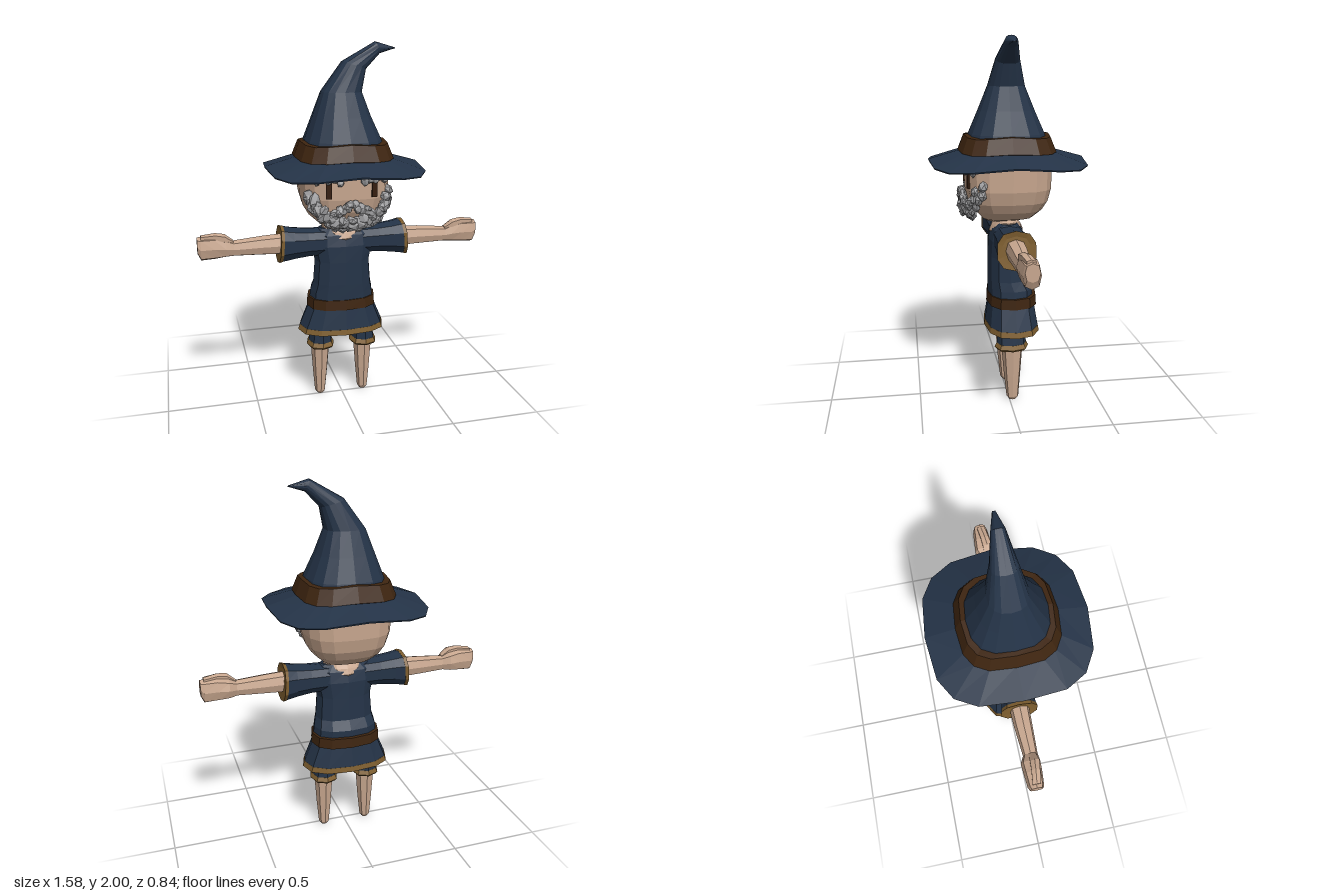
import * as THREE from 'three';
import { mergeGeometries } from 'three/addons/utils/BufferGeometryUtils.js';

const material = (name, color) => Object.assign(new THREE.MeshStandardMaterial({ color }), { name });

// Power that keeps its sign, used for rounded-square cross-sections
const spow = (v, e) => Math.sign(v) * Math.pow(Math.abs(v), e);

// Faceted closed loft. ring = [along, c1, c2, r1, r2, tilt, droop].
// axis 'y': c1/c2 are x/z. axis 'x': c1/c2 are y/z, mirrored by side.
function loft(rings, { sides = 12, square = 2, axis = 'y', side = 1 } = {}) {
  const place = (l, p, q) => axis === 'y' ? [p * side, l, q] : [l * side, p, q];
  const pts = rings.map(([l, c1, c2, r1, r2, tilt = 0, droop = 0]) =>
    Array.from({ length: sides }, (_, j) => {
      const t = (j / sides) * Math.PI * 2, c = Math.cos(t), s = Math.sin(t);
      return place(l + tilt * c - droop * Math.abs(Math.sin(2 * t)),
        c1 + r1 * spow(c, 2 / square), c2 + r2 * spow(s, 2 / square));
    }));
  const flip = (axis === 'x') !== (side < 0);
  const pos = [];
  const tri = (a, b, c) => pos.push(...a, ...(flip ? c : b), ...(flip ? b : c));
  const last = rings.length - 1;
  const mid = (i) => place(rings[i][0], rings[i][1], rings[i][2]);
  for (let j = 0; j < sides; j++) {
    const k = (j + 1) % sides;
    for (let i = 0; i < last; i++) {
      tri(pts[i][j], pts[i + 1][j], pts[i][k]);
      tri(pts[i][k], pts[i + 1][j], pts[i + 1][k]);
    }
    tri(mid(0), pts[0][j], pts[0][k]);
    tri(mid(last), pts[last][k], pts[last][j]);
  }
  const g = new THREE.BufferGeometry();
  g.setAttribute('position', new THREE.Float32BufferAttribute(pos, 3));
  g.computeVertexNormals();
  return g;
}

export function createModel() {
  const cloth = material('navy cloth', 0x243347);
  const skin = material('skin', 0xc8a78f);
  const leather = material('brown leather', 0x3e2510);
  const gold = material('gold trim', 0x7e5e2f);
  const hair = material('grey hair', 0x9c9c9e);
  const dark = material('dark eyes', 0x351d0e);

  const model = new THREE.Group();
  model.name = 'wizard';
  const add = (name, geometry, mat) => {
    const mesh = new THREE.Mesh(geometry, mat);
    mesh.name = name;
    model.add(mesh);
    return mesh;
  };

  // Head and neck
  add('head', loft([
    [1.025, 0, 0.03, 0.07, 0.08], [1.045, 0, 0.0, 0.135, 0.14], [1.09, 0, -0.005, 0.185, 0.185],
    [1.14, 0, -0.005, 0.215, 0.215], [1.21, 0, -0.005, 0.235, 0.232], [1.33, 0, -0.005, 0.24, 0.235],
    [1.42, 0, -0.005, 0.22, 0.22],
  ], { sides: 16, square: 3 }), skin);
  add('neck', loft([
    [0.945, 0, 0, 0.05, 0.085], [0.965, 0, 0, 0.095, 0.095], [0.995, 0, 0, 0.118, 0.082],
    [1.02, 0, 0, 0.115, 0.065], [1.05, 0, 0, 0.07, 0.055],
  ]), skin);

  // Hat: drooping brim, band and bent cone
  add('hatBrim', loft([
    [1.375, 0, 0, 0.215, 0.215], [1.357, 0, 0, 0.418, 0.418, 0, 0.024],
    [1.365, 0, 0, 0.42, 0.42, 0, 0.026], [1.412, 0, 0, 0.25, 0.25, 0, 0.008],
  ], { sides: 16, square: 3 }), cloth);
  add('hatBand', loft([
    [1.4, 0, 0, 0.24, 0.24], [1.413, 0, 0, 0.262, 0.262, 0, 0.01],
    [1.495, 0, 0, 0.23, 0.23, 0, 0.012], [1.497, 0, 0, 0.2, 0.2, 0, 0.012],
  ], { sides: 16, square: 3 }), leather);
  add('hatCone', loft([
    [1.45, 0, 0, 0.22, 0.22], [1.5, 0, 0, 0.205, 0.205], [1.62, -0.005, 0, 0.155, 0.152],
    [1.746, -0.005, 0, 0.108, 0.1], [1.88, 0.063, 0, 0.063, 0.065, -0.02],
    [1.969, 0.19, 0, 0.012, 0.034, -0.031], [1.967, 0.285, 0, 0.003, 0.008, -0.003],
  ], { sides: 16, square: 2.5 }), cloth);

  // Tunic, belt and skirt
  add('tunic', loft([
    [0.59, 0, -0.02, 0.185, 0.125], [0.65, 0, -0.02, 0.178, 0.125], [0.7, 0, -0.003, 0.165, 0.108],
    [0.83, 0, 0, 0.155, 0.104], [0.92, 0, 0, 0.175, 0.1], [0.98, 0, 0, 0.175, 0.085],
    [1.015, 0, 0, 0.13, 0.055],
  ], { square: 2.5 }), cloth);
  add('belt', loft([
    [0.553, 0, -0.027, 0.17, 0.115], [0.555, 0, -0.027, 0.198, 0.14],
    [0.612, 0, -0.027, 0.194, 0.136], [0.614, 0, -0.027, 0.165, 0.11],
  ], { square: 2.5 }), leather);
  add('skirt', loft([
    [0.46, 0, -0.027, 0.2, 0.12], [0.44, 0, -0.027, 0.24, 0.147], [0.57, 0, -0.025, 0.185, 0.128],
  ], { square: 2.5 }), cloth);
  add('skirtTrim', loft([
    [0.46, 0, -0.027, 0.2, 0.12], [0.412, 0, -0.027, 0.23, 0.135],
    [0.41, 0, -0.027, 0.25, 0.153], [0.44, 0, -0.027, 0.241, 0.148],
  ], { square: 2.5 }), gold);

  // Limbs, mirrored
  for (const [side, word] of [[1, 'left'], [-1, 'right']]) {
    const along = { sides: 10, square: 2.5, axis: 'x', side };
    add(word + 'Sleeve', loft([
      [0.1, 0.935, 0, 0.075, 0.085], [0.2, 0.935, 0, 0.078, 0.085],
      [0.28, 0.935, 0, 0.088, 0.092], [0.342, 0.934, -0.003, 0.1, 0.1, -0.008],
    ], along), cloth);
    add(word + 'Cuff', loft([
      [0.336, 0.934, -0.003, 0.1, 0.1, -0.008], [0.354, 0.934, -0.003, 0.104, 0.104, -0.008],
      [0.35, 0.934, -0.003, 0.075, 0.075, -0.008],
    ], along), gold);
    add(word + 'Arm', loft([
      [0.3, 0.935, 0, 0.06, 0.055], [0.44, 0.934, 0, 0.053, 0.05], [0.6, 0.93, 0.004, 0.043, 0.04],
      [0.64, 0.937, -0.004, 0.055, 0.053], [0.7, 0.94, -0.003, 0.065, 0.05],
      [0.772, 0.937, -0.003, 0.066, 0.044], [0.79, 0.955, -0.003, 0.045, 0.036],
    ], { ...along, sides: 8 }), skin);
    add(word + 'Thumb', loft([
      [0.6, 0.965, 0.01, 0.012, 0.02], [0.645, 0.99, 0.015, 0.025, 0.028],
      [0.695, 1.0, 0.01, 0.022, 0.026], [0.77, 0.997, 0.0, 0.014, 0.025],
    ], { ...along, sides: 6 }), skin);

    const up = { sides: 8, square: 2.4, side };
    add(word + 'Leg', loft([
      [0, 0.128, -0.018, 0.018, 0.02], [0.02, 0.128, -0.018, 0.03, 0.034],
      [0.15, 0.127, -0.016, 0.042, 0.046], [0.33, 0.126, -0.015, 0.055, 0.06],
    ], up), skin);
    add(word + 'Shorts', loft([
      [0.34, 0.125, -0.012, 0.068, 0.083], [0.42, 0.122, -0.012, 0.056, 0.075],
      [0.5, 0.1, -0.015, 0.075, 0.085],
    ], up), cloth);
    add(word + 'ShortsTrim', loft([
      [0.325, 0.125, -0.012, 0.055, 0.06], [0.31, 0.125, -0.012, 0.07, 0.085],
      [0.322, 0.125, -0.012, 0.079, 0.095], [0.345, 0.125, -0.012, 0.068, 0.083],
    ], up), gold);

    // Eyes
    const eye = add(word + 'Eye', new THREE.BoxGeometry(0.03, 0.085, 0.009), dark);
    eye.position.set(side * 0.122, 1.263, 0.219);
    eye.rotation.y = side * 0.2;
  }

  // Shaggy hair from small tumbled shards
  let seed = 7;
  const rand = () => (seed = (seed * 16807) % 2147483647) / 2147483647;
  const faceZ = (x) => 0.23 * Math.cbrt(Math.max(0, 1 - Math.pow(Math.abs(x) / 0.245, 3)));
  const shard = (x, y, r, out = 0.008) => {
    const g = new THREE.IcosahedronGeometry(r, 0);
    g.scale(0.75 + rand() * 0.4, 0.9 + rand() * 0.5, 0.6 + rand() * 0.3);
    g.rotateZ(rand() * 6.28).rotateX(rand() - 0.5).rotateY(rand() - 0.5);
    return g.translate(x, y, faceZ(x) + out);
  };
  const beard = [], moustache = [], brows = [];
  for (const [n, w, y0, rise, r, out] of [
    [17, 0.213, 1.062, 0.175, 0.032, -0.01], [15, 0.19, 1.088, 0.12, 0.034, 0.006], [9, 0.15, 1.105, 0.05, 0.027, 0.016],
  ]) {
    for (let i = 0; i < n; i++) {
      const a = ((i / (n - 1)) * 2 - 1) * Math.PI / 2;
      const y = y0 + rise * (1 - Math.cos(a));
      const tuck = y < 1.08 ? -0.025 : 0;
      beard.push(shard(w * Math.sin(a), y + (rand() - 0.5) * 0.015, r, out + tuck));
    }
  }
  for (const s of [1, -1]) {
    for (let i = 0; i < 4; i++) {
      moustache.push(shard(s * (0.014 + i * 0.027), 1.19 - i * 0.014, 0.027, 0.014));
      moustache.push(shard(s * (0.025 + i * 0.025), 1.168 - i * 0.01, 0.024, 0.018));
    }
    for (let i = 0; i < 5; i++) {
      brows.push(shard(s * (0.064 + i * 0.03), 1.312 + (i % 2) * 0.008 - (i === 0 ? 0.004 : 0), 0.022, 0.008));
    }
  }
  add('beard', mergeGeometries(beard), hair);
  add('moustache', mergeGeometries(moustache), hair);
  add('eyebrows', mergeGeometries(brows), hair);

  return model;
}
